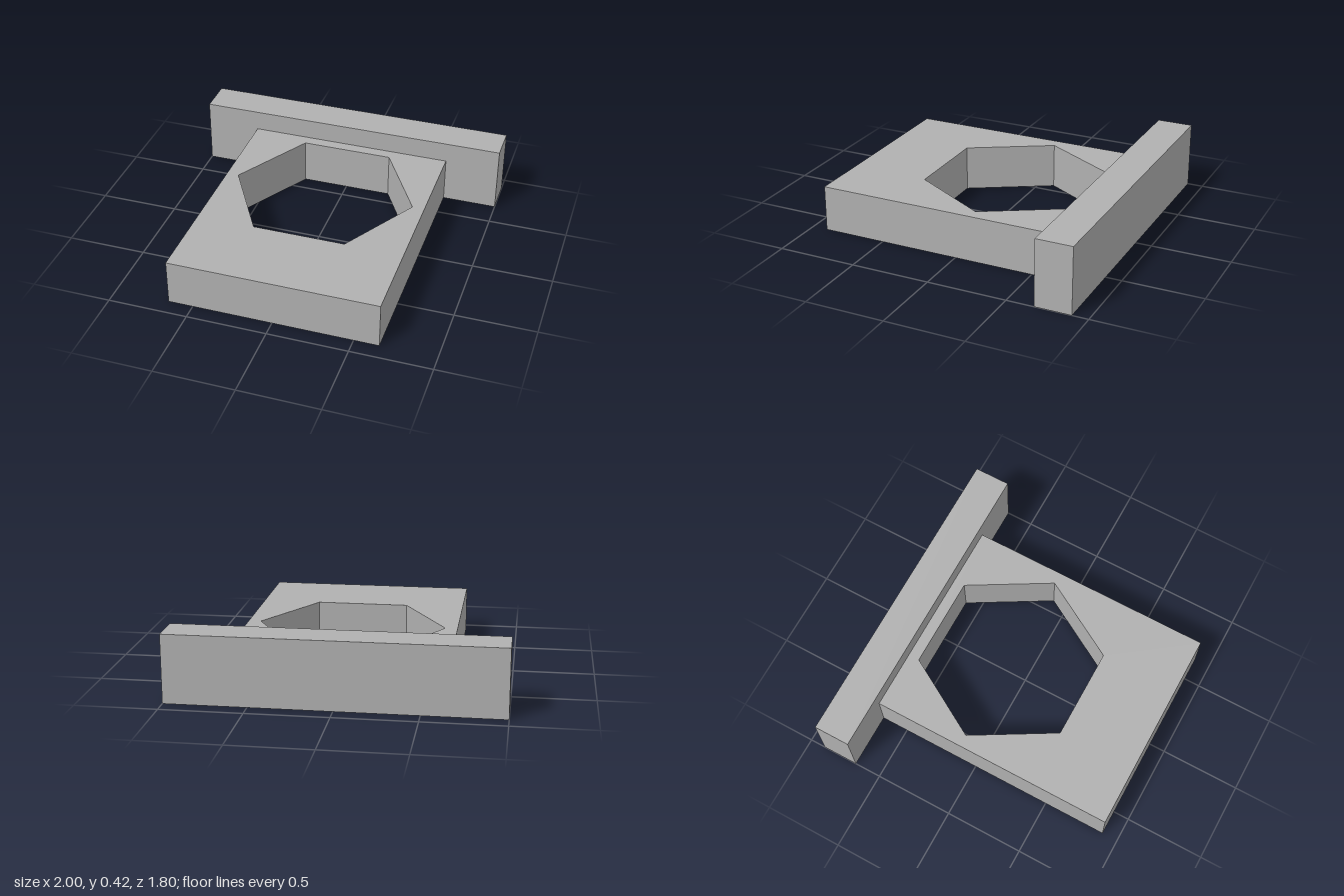
import * as THREE from 'three';

const HALF_WIDTH = 0.655, FRONT = 0.9, JOINT = -0.672, BACK = -0.9;
const PLATE_HEIGHT = 0.29, BAR_HEIGHT = 0.42;
const HOLE_RADIUS = 0.578, HOLE_Z = -0.1;

export function createModel() {
  const group = new THREE.Group();
  const grey = new THREE.MeshStandardMaterial({ color: 0xb0b0b0 });
  grey.name = 'grey';

  // Base plate with a hexagonal through-hole; outline y maps to -z
  const outline = new THREE.Shape([
    new THREE.Vector2(-HALF_WIDTH, -FRONT),
    new THREE.Vector2(HALF_WIDTH, -FRONT),
    new THREE.Vector2(HALF_WIDTH, -JOINT),
    new THREE.Vector2(-HALF_WIDTH, -JOINT),
  ]);
  const corners = [];
  for (let i = 0; i < 6; i++) {
    const a = -i * Math.PI / 3;
    corners.push(new THREE.Vector2(HOLE_RADIUS * Math.cos(a), HOLE_RADIUS * Math.sin(a) - HOLE_Z));
  }
  outline.holes.push(new THREE.Path(corners));
  const plateGeometry = new THREE.ExtrudeGeometry(outline, { depth: PLATE_HEIGHT, bevelEnabled: false });
  plateGeometry.rotateX(-Math.PI / 2);
  const plate = new THREE.Mesh(plateGeometry, grey);
  plate.name = 'basePlate';
  group.add(plate);

  // Taller crossbar along the back edge
  const bar = new THREE.Mesh(new THREE.BoxGeometry(2, BAR_HEIGHT, JOINT - BACK), grey);
  bar.position.set(0, BAR_HEIGHT / 2, (JOINT + BACK) / 2);
  bar.name = 'backCrossbar';
  group.add(bar);

  return group;
}
